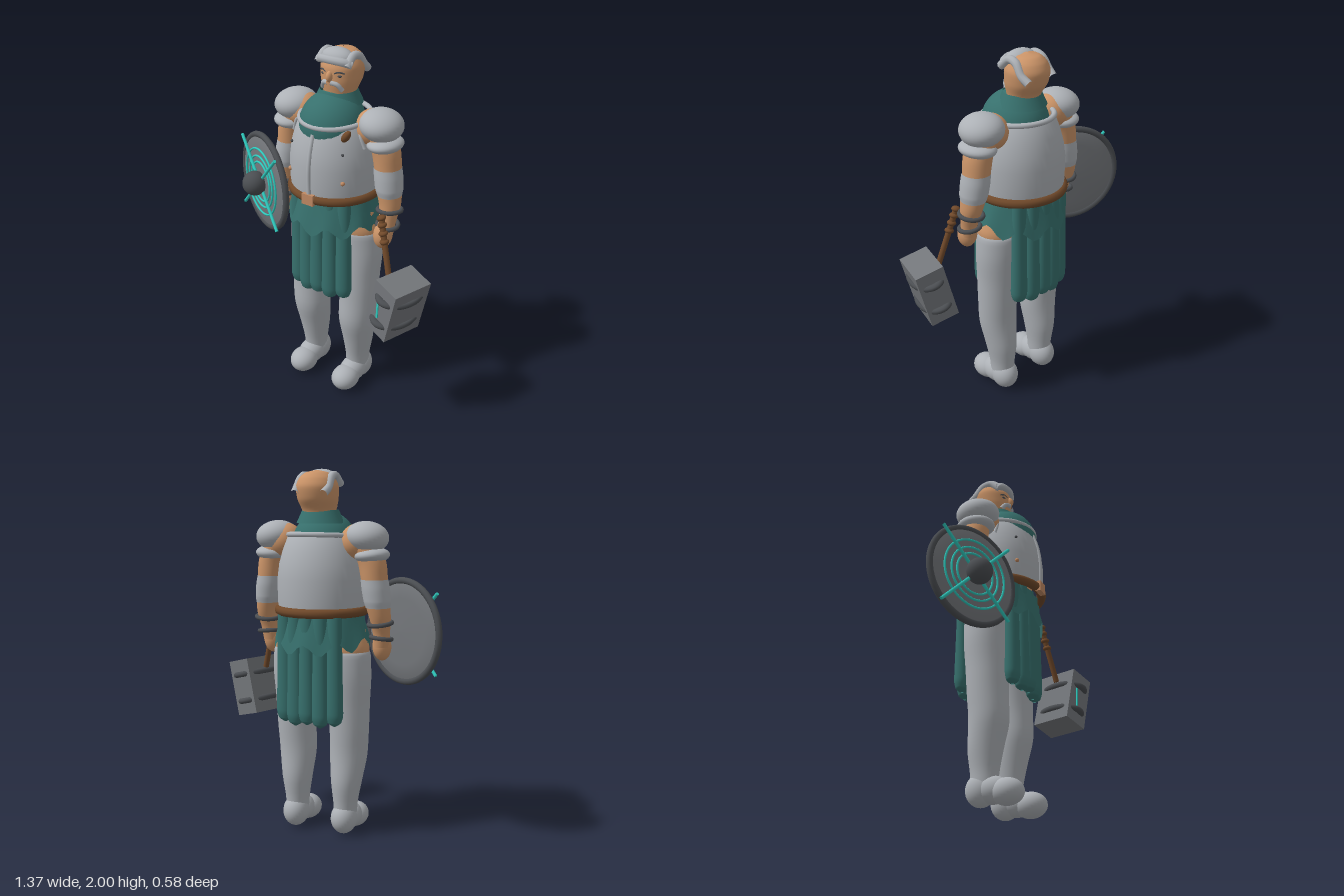
import * as THREE from 'three';

const mat = (name, color, side = THREE.FrontSide) => {
  const m = new THREE.MeshStandardMaterial({ color, side });
  m.name = name;
  return m;
};
const V = (a) => new THREE.Vector3(...a);

export function createModel() {
  const skin = mat('skin', 0xcb9468), silver = mat('silver', 0xadb1b6);
  const cloth = mat('teal cloth', 0x37706d, THREE.DoubleSide), leather = mat('brown leather', 0x70492a);
  const iron = mat('dark iron', 0x4b4e52), steel = mat('steel', 0x74777b);
  const glow = mat('turquoise', 0x2fc9bd), copper = mat('copper', 0xc08a63);

  const model = new THREE.Group();
  const body = new THREE.Group();
  body.name = 'body';
  body.position.x = 0.025;
  model.add(body);

  const add = (parent, name, geo, m, pos = [0, 0, 0], rot = [0, 0, 0], scale = [1, 1, 1]) => {
    const mesh = new THREE.Mesh(geo, m);
    mesh.name = name;
    mesh.position.set(...pos);
    mesh.rotation.set(...rot);
    mesh.scale.set(...scale);
    parent.add(mesh);
    return mesh;
  };
  const ball = (parent, name, m, pos, radii, rot) =>
    add(parent, name, new THREE.SphereGeometry(1, 32, 20), m, pos, rot, radii);
  const ring = (parent, name, m, pos, r, tube, rot = [Math.PI / 2, 0, 0], scale) =>
    add(parent, name, new THREE.TorusGeometry(r, tube, 10, 56), m, pos, rot, scale);
  const tube = (parent, name, m, pts, r) =>
    add(parent, name, new THREE.TubeGeometry(new THREE.CatmullRomCurve3(pts.map(V)), 28, r, 10), m);
  const rod = (parent, name, m, a, b, r) => {
    const p = V(a), q = V(b), d = q.clone().sub(p);
    const mesh = add(parent, name, new THREE.CylinderGeometry(r, r, d.length(), 12), m, p.clone().add(q).multiplyScalar(0.5).toArray());
    mesh.quaternion.setFromUnitVectors(new THREE.Vector3(0, 1, 0), d.normalize());
    return mesh;
  };

  // Smooth skin over elliptical rings [x, y, z, rx, rz], listed bottom to top
  const loft = (rows, steps = 32, n = 28) => {
    const mid = new THREE.CatmullRomCurve3(rows.map((r) => V([r[0], r[1], r[2]])));
    const rad = new THREE.CatmullRomCurve3(rows.map((r) => V([r[3], r[4], 0])));
    const pos = [], idx = [];
    for (let i = 0; i <= steps; i++) {
      const c = mid.getPoint(i / steps), r = rad.getPoint(i / steps);
      for (let j = 0; j < n; j++) {
        const a = (j / n) * Math.PI * 2;
        pos.push(c.x + r.x * Math.cos(a), c.y, c.z + r.y * Math.sin(a));
        if (i === steps) continue;
        const k = (j + 1) % n, p = i * n, q = p + n;
        idx.push(p + j, q + j, p + k, q + j, q + k, p + k);
      }
    }
    const g = new THREE.BufferGeometry();
    g.setAttribute('position', new THREE.Float32BufferAttribute(pos, 3));
    g.setIndex(idx);
    g.computeVertexNormals();
    return g;
  };

  // Head and neck
  add(body, 'head', loft([[0, 1.7, -0.075, 0.075, 0.075], [0, 1.78, -0.075, 0.09, 0.09], [0, 1.84, -0.09, 0.108, 0.114],
    [0, 1.9, -0.098, 0.113, 0.12], [0, 1.95, -0.1, 0.095, 0.1], [0, 1.98, -0.1, 0.06, 0.066], [0, 1.993, -0.1, 0.002, 0.002]]), skin);
  ball(body, 'nose', skin, [0, 1.865, 0.02], [0.018, 0.03, 0.025]);
  tube(body, 'hairFront', silver, [[-0.1, 1.93, -0.03], [-0.06, 1.945, 0.0], [0, 1.95, 0.012], [0.06, 1.945, 0.0], [0.1, 1.93, -0.03]], 0.022);
  ball(body, 'hairCrown', silver, [0, 1.95, -0.05], [0.09, 0.05, 0.062]);
  for (const s of [-1, 1]) {
    tube(body, 'hairSide', silver, [[s * 0.088, 1.92, 0], [s * 0.085, 1.965, -0.06], [s * 0.088, 1.955, -0.11],
      [s * 0.092, 1.9, -0.155], [s * 0.085, 1.87, -0.195]], 0.022);
    ball(body, 'eye', iron, [s * 0.046, 1.872, 0.004], [0.017, 0.008, 0.01]);
    tube(body, 'eyebrow', iron, [[s * 0.025, 1.885, 0.016], [s * 0.048, 1.893, 0.008], [s * 0.072, 1.885, -0.008]], 0.005);
    tube(body, 'moustache', silver, [[s * 0.008, 1.835, 0.024], [s * 0.04, 1.828, 0.014], [s * 0.06, 1.795, -0.006]], 0.013);
  }

  // Cuirass with rim, ridge and rivets
  const plate = [[0.235, 1.23], [0.243, 1.3], [0.244, 1.42], [0.234, 1.5], [0.215, 1.57], [0.187, 1.645], [0.165, 1.66]];
  add(body, 'cuirass', new THREE.LatheGeometry(plate.map((p) => new THREE.Vector2(...p)), 48), silver, [0, 0, -0.038]);
  ring(body, 'cuirassRim', silver, [0, 1.648, -0.032], 0.182, 0.014, [Math.PI / 2 + 0.06, 0, 0], [1, 1.06, 1]);
  tube(body, 'chestRidge', silver, [[0, 1.28, 0.205], [0, 1.42, 0.206], [0, 1.52, 0.19], [0, 1.6, 0.165]], 0.012);
  for (const s of [-1, 1]) {
    ball(body, 'rivet', copper, [s * 0.167, 1.36, 0.14], [0.012, 0.012, 0.012]);
    ball(body, 'smallRivet', iron, [s * 0.16, 1.515, 0.132], [0.008, 0.008, 0.008]);
    tube(body, 'sideStrap', silver, [[s * 0.18, 1.645, 0.01], [s * 0.2, 1.6, 0.035], [s * 0.225, 1.53, 0.03]], 0.009);
  }

  // Cowl and brooch
  ball(body, 'cowl', cloth, [0, 1.6, -0.01], [0.176, 0.182, 0.184]);
  add(body, 'cowlNeck', new THREE.CylinderGeometry(0.098, 0.13, 0.07, 32, 1, true), cloth, [0, 1.75, -0.06]);
  ball(body, 'brooch', leather, [0.165, 1.61, 0.11], [0.02, 0.038, 0.022], [0, 0, -0.6]);

  // Belt and buckle
  ring(body, 'belt', leather, [0, 1.25, -0.04], 0.234, 0.026);
  add(body, 'buckle', new THREE.BoxGeometry(0.07, 0.06, 0.03), copper, [0, 1.252, 0.207]);

  // Hips and ragged skirt
  ball(body, 'hips', skin, [0, 1.12, -0.045], [0.255, 0.16, 0.165]);
  const skirt = new THREE.CylinderGeometry(0.225, 0.268, 0.15, 48, 4, true);
  const sp = skirt.attributes.position;
  for (let i = 0; i < sp.count; i++) {
    const t = (0.075 - sp.getY(i)) / 0.15, a = Math.atan2(sp.getZ(i), sp.getX(i));
    sp.setY(i, sp.getY(i) - t * 0.03 * Math.sin(a * 9) - t * 0.04 * Math.abs(Math.sin(a)));
  }
  skirt.computeVertexNormals();
  add(body, 'skirt', skirt, cloth, [0, 1.165, -0.04], [0, 0, 0], [1, 1, 0.87]);

  // Hanging front and back cloth, each a row of round folds
  for (const f of [1, -1]) {
    for (let i = -2; i <= 2; i++) {
      const x = i * 0.074, hem = 0.64 + (i % 2 ? 0 : 0.012), z = f > 0 ? 0.128 - i * i * 0.007 : -0.222 + i * i * 0.007;
      add(body, f > 0 ? 'frontClothFold' : 'backClothFold', loft([[x, hem - 0.01, z, 0.008, 0.008], [x, hem + 0.01, z, 0.038, 0.032],
        [x, hem + 0.06, z, 0.049, 0.042], [x, 0.95, z, 0.044, 0.038], [x, 1.24, z, 0.04, 0.034]]), cloth);
    }
  }

  for (const s of [-1, 1]) {
    const side = s > 0 ? 'left' : 'right';
    // Leg and boot
    add(body, side + 'Leg', loft([[s * 0.15, 0.08, -0.055, 0.06, 0.07], [s * 0.15, 0.18, -0.055, 0.066, 0.076],
      [s * 0.153, 0.3, -0.05, 0.084, 0.094], [s * 0.157, 0.45, -0.03, 0.103, 0.107], [s * 0.162, 0.6, -0.035, 0.108, 0.11],
      [s * 0.16, 0.75, -0.04, 0.117, 0.115], [s * 0.153, 0.92, -0.047, 0.134, 0.122], [s * 0.15, 1.02, -0.047, 0.132, 0.122],
      [s * 0.145, 1.06, -0.045, 0.11, 0.1]]), silver);
    add(body, side + 'ThighTop', loft([[s * 0.148, 0.98, -0.045, 0.12, 0.11], [s * 0.148, 1.05, -0.045, 0.127, 0.118],
      [s * 0.13, 1.14, -0.045, 0.112, 0.11]]), skin);
    ball(body, side + 'Heel', silver, [s * 0.15, 0.095, -0.075], [0.072, 0.087, 0.082]);
    ball(body, side + 'Instep', silver, [s * 0.15, 0.09, -0.01], [0.07, 0.072, 0.1]);
    ball(body, side + 'Toe', silver, [s * 0.15, 0.075, 0.07], [0.077, 0.07, 0.09]);

    // Arm, bracer and hand
    ball(body, side + 'Shoulder', skin, [s * 0.215, 1.62, -0.055], [0.09, 0.095, 0.1]);
    add(body, side + 'Arm', loft([[s * 0.338, 1.06, -0.01, 0.042, 0.045], [s * 0.343, 1.13, -0.022, 0.045, 0.046],
      [s * 0.343, 1.22, -0.042, 0.056, 0.062], [s * 0.33, 1.3, -0.05, 0.065, 0.073], [s * 0.315, 1.42, -0.055, 0.07, 0.077],
      [s * 0.298, 1.52, -0.055, 0.075, 0.08], [s * 0.25, 1.63, -0.055, 0.08, 0.085]]), skin);
    add(body, side + 'ElbowGuard', loft([[s * 0.334, 1.275, -0.049, 0.064, 0.071], [s * 0.33, 1.31, -0.05, 0.072, 0.079],
      [s * 0.322, 1.37, -0.053, 0.074, 0.081], [s * 0.314, 1.425, -0.055, 0.072, 0.078]]), silver);
    ball(body, side + 'Hand', skin, [s * 0.335, 1.06, 0.005], [0.05, 0.077, 0.056], [-0.15, 0, 0]);
    ring(body, side + 'UpperBracelet', iron, [s * 0.343, 1.19, -0.04], 0.062, 0.012, [Math.PI / 2 - 0.1, s * 0.08, 0]);
    ring(body, side + 'LowerBracelet', iron, [s * 0.343, 1.11, -0.025], 0.055, 0.012, [Math.PI / 2 + 0.1, s * -0.08, 0]);

    // Pauldron
    ball(body, side + 'Pauldron', silver, [s * 0.27, 1.645, -0.053], [0.115, 0.083, 0.122], [0, 0, s * -0.12]);
    ball(body, side + 'PauldronLower', silver, [s * 0.298, 1.55, -0.05], [0.092, 0.043, 0.108], [0, 0, s * 0.06]);
  }

  // Round shield
  const shield = new THREE.Group();
  shield.name = 'shield';
  shield.position.set(-0.43, 1.15, 0.01);
  shield.rotation.y = -0.456;
  model.add(shield);
  const disc = [[0, -0.02], [0.18, -0.017], [0.268, -0.008], [0.268, 0.01], [0.18, 0.02], [0, 0.028]];
  add(shield, 'shieldDisc', new THREE.LatheGeometry(disc.map((p) => new THREE.Vector2(...p)), 56), steel, [0, 0, 0], [Math.PI / 2, 0, 0]);
  ring(shield, 'shieldRim', iron, [0, 0, 0], 0.269, 0.018, [0, 0, 0]);
  for (const r of [0.115, 0.15, 0.193]) ring(shield, 'shieldRing', glow, [0, 0, 0.026], r, 0.006, [0, 0, 0]);
  for (const s of [-1, 1]) rod(shield, 'shieldRod', glow, [-0.215, -0.215 * s, 0.036], [0.215, 0.215 * s, 0.036], 0.009);
  ball(shield, 'shieldBoss', iron, [0, 0, 0.065], [0.07, 0.07, 0.07]);

  // Hammer handle with grip rings
  const hammer = new THREE.Group();
  hammer.name = 'hammer';
  model.add(hammer);
  const top = [0.38, 1.2, 0.062], end = [0.475, 0.87, 0.115];
  rod(hammer, 'handle', leather, top, end, 0.016);
  for (const t of [0.03, 0.14, 0.27, 0.4]) {
    const p = V(top).lerp(V(end), t);
    ball(hammer, 'gripRing', leather, p.toArray(), [0.025, 0.016, 0.025], [0, 0, 0.28]);
  }

  // Hammer head with iron bands
  const head = new THREE.Group();
  head.name = 'hammerHead';
  head.position.set(0.537, 0.755, 0.125);
  head.rotation.set(0, -0.3, -0.25);
  hammer.add(head);
  add(head, 'hammerBlock', new THREE.BoxGeometry(0.16, 0.32, 0.24), steel);
  for (const y of [-0.08, 0.075])
    ring(head, 'hammerBand', iron, [0, y, 0], 0.1, 0.017, [Math.PI / 2, 0, 0], [0.85, 1.3, 1]);
  add(head, 'hammerInlay', new THREE.BoxGeometry(0.012, 0.11, 0.008), glow, [-0.02, 0, 0.121], [0, 0, 0.2]);

  return model;
}
